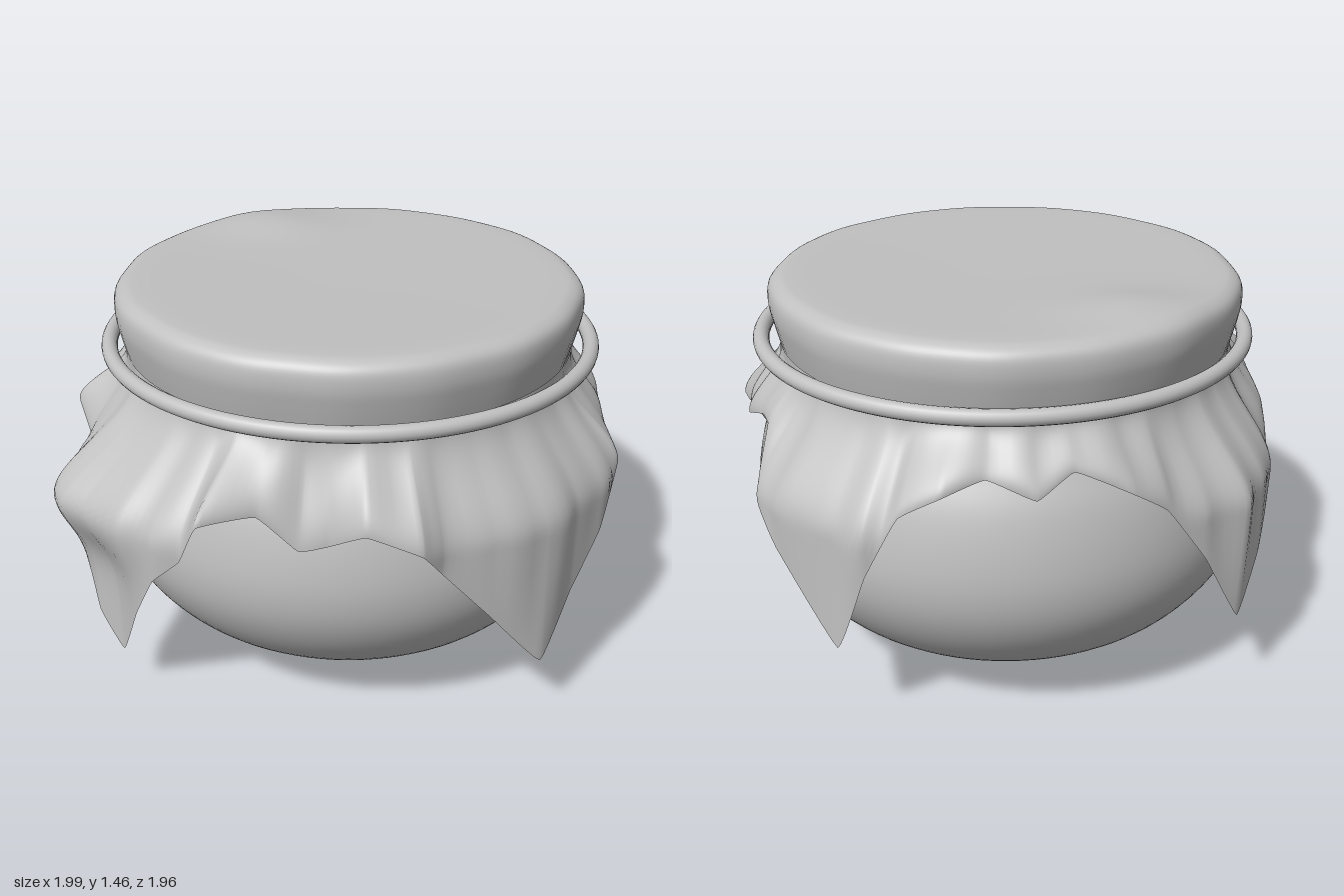
import * as THREE from 'three';

const CZ = -0.05; // z of the pot axis

// Pot outline: radius, height
const potProfile = [
  [0, 0], [0.2, 0.02], [0.4, 0.065], [0.58, 0.13], [0.73, 0.22], [0.84, 0.34], [0.91, 0.47],
  [0.936, 0.6], [0.925, 0.74], [0.885, 0.89], [0.82, 1.02], [0.78, 1.12], [0.77, 1.25], [0.77, 1.39],
];

// Cloth hem: angle from +z towards +x in degrees, radius, height
const hem = [
  [0, 0.94, 0.83], [7, 1.0, 0.9], [17, 1.03, 0.83], [22, 0.99, 0.72], [32, 1.0, 0.52], [44, 1.04, 0.27],
  [54, 1.02, 0.47], [63, 1.04, 0.65], [72, 1.04, 0.85], [79, 0.98, 0.87], [86, 0.95, 0.92], [95, 0.95, 0.94],
  [105, 0.92, 1.0], [111, 0.93, 1.0], [117, 1.03, 0.78], [124, 1.04, 0.66], [139, 1.03, 0.37], [146, 1.03, 0.68],
  [152, 0.99, 0.9], [160, 0.97, 0.98], [168, 0.9, 1.02], [178, 0.93, 0.96], [186, 0.89, 1.03], [197, 0.95, 0.95],
  [205, 0.96, 0.86], [214, 1.0, 0.64], [223, 1.04, 0.36], [232, 1.03, 0.53], [240, 1.01, 0.63], [250, 0.98, 0.77],
  [258, 0.96, 0.9], [268, 0.93, 0.97], [276, 0.92, 1.0], [281, 1.01, 0.97], [287, 0.97, 0.85], [293, 1.03, 0.77],
  [300, 1.07, 0.6], [306, 1.07, 0.33], [311, 1.03, 0.19], [320, 1.06, 0.45], [327, 1.08, 0.65], [333, 1.07, 0.76],
  [338, 1.1, 0.93], [346, 0.97, 0.93], [354, 0.95, 0.81],
];

// Grid of quads from rows of points, closed around the axis
function loft(rows) {
  const n = rows[0].length, pos = [], idx = [];
  rows.forEach(row => row.forEach(p => pos.push(p.x, p.y, p.z)));
  for (let r = 0; r < rows.length - 1; r++) {
    for (let i = 0; i < n; i++) {
      const j = (i + 1) % n, a = r * n + i, b = r * n + j;
      idx.push(a, a + n, b, b, a + n, b + n);
    }
  }
  const g = new THREE.BufferGeometry();
  g.setAttribute('position', new THREE.Float32BufferAttribute(pos, 3));
  g.setIndex(idx);
  g.computeVertexNormals();
  return g;
}

function smoothCurve(pairs) {
  return new THREE.SplineCurve(pairs.map(([r, y]) => new THREE.Vector2(r, y)));
}

export function createModel() {
  const model = new THREE.Group();
  const clay = new THREE.MeshStandardMaterial({ color: 0xc0c0c0, side: THREE.DoubleSide });
  clay.name = 'clayGrey';
  const add = (name, geometry, x = 0, y = 0, z = 0) => {
    const mesh = new THREE.Mesh(geometry, clay);
    mesh.name = name;
    mesh.position.set(x, y, z);
    model.add(mesh);
  };

  // Round-bellied pot
  const outline = smoothCurve(potProfile).getPoints(60);
  outline.forEach(p => { p.x = Math.max(p.x, 0); p.y = Math.max(p.y, 0); });
  add('pot', new THREE.LatheGeometry(outline, 96), 0, 0, CZ);

  // Pot radius at a height, used to keep the cloth outside the belly
  const potRadius = y => {
    const k = outline.findIndex(p => p.y >= y);
    return k < 0 ? 0.77 : outline[k].x;
  };

  // Cloth stretched over the mouth, with a soft rise towards the back
  const capCurve = smoothCurve([[0.815, 1.18], [0.835, 1.26], [0.848, 1.33], [0.842, 1.39], [0.81, 1.42],
    [0.755, 1.428], [0.6, 1.427], [0.4, 1.425], [0.2, 1.424], [0, 1.424]]);
  const capRows = capCurve.getPoints(48).reverse().map(p => {
    const row = [];
    for (let i = 0; i < 96; i++) {
      const a = i / 96 * Math.PI * 2;
      const side = THREE.MathUtils.smoothstep(p.x, 0.7, 0.84);
      const r = p.x + side * (0.003 * Math.sin(9 * a) + 0.002 * Math.sin(17 * a + 1));
      const x = r * Math.sin(a), z = r * Math.cos(a) * 0.985;
      const rise = 0.028 * Math.exp(-((x + 0.35) ** 2 / 0.05 + (z + 0.53) ** 2 / 0.03));
      row.push(new THREE.Vector3(x, p.y + rise, z - 0.04));
    }
    return row;
  });
  add('clothTop', loft(capRows));

  // Cord tied around the neck
  const cord = new THREE.TorusGeometry(0.882, 0.029, 16, 120);
  cord.rotateX(Math.PI / 2);
  cord.scale(1, 1, 0.955);
  add('cord', cord, 0.005, 1.197, -0.027);

  // Hanging cloth with four pointed corners
  const hemCurve = new THREE.CatmullRomCurve3(hem.map(([deg, r, y]) => {
    const a = THREE.MathUtils.degToRad(deg);
    return new THREE.Vector3(r * Math.sin(a), y, r * Math.cos(a));
  }), true, 'catmullrom', 0.15);
  const count = hem.length * 6;
  const hemPoints = Array.from({ length: count }, (_, i) => hemCurve.getPoint(i / count));
  const skirtRows = [];
  for (let k = 0; k <= 32; k++) {
    const t = k / 32;
    skirtRows.push(hemPoints.map(p => {
      const a = Math.atan2(p.x, p.z), hemR = Math.hypot(p.x, p.z);
      const y = THREE.MathUtils.lerp(1.2, p.y, t);
      // The cloth is held in at the neck, then flares out to the hem radius
      const flare = THREE.MathUtils.smoothstep(1.17 - y, 0, Math.min(0.38, 1.17 - p.y));
      const fold = Math.sin(Math.PI * t) * (0.007 * Math.sin(23 * a) + 0.005 * Math.sin(37 * a + 2));
      // Puffed-out folds above the front right corner
      const puff = 0.11 * Math.exp(-(((a + 0.9) / 0.23) ** 2) - ((y - 0.8) / 0.17) ** 2);
      const r = Math.max(0.82 + (hemR - 0.82) * flare + fold + puff, potRadius(y) + 0.01);
      const z = r * Math.cos(a) + CZ + 0.012 * (1 - flare);
      return new THREE.Vector3(r * Math.sin(a), y, z);
    }));
  }
  add('clothSkirt', loft(skirtRows));

  return model;
}
